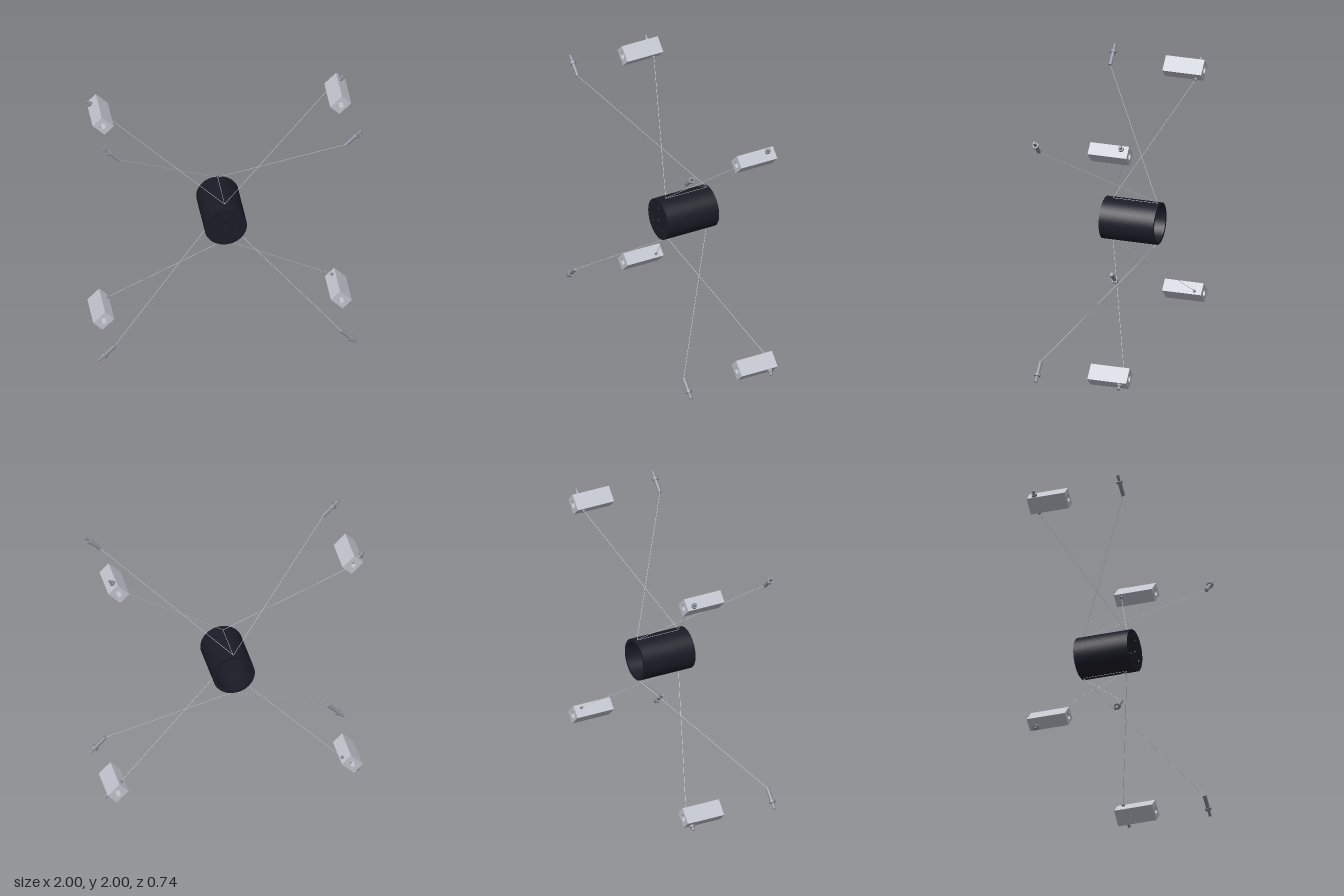
import * as THREE from 'three';

const mat = (name, color) => {
  const m = new THREE.MeshStandardMaterial({ color });
  m.name = name;
  return m;
};

export function createModel() {
  const black = mat('black casing', 0x1b1b27);
  const alloy = mat('light alloy', 0xc1c4cd);
  const steel = mat('dark steel', 0x8b8f98);
  const wireMat = mat('wire silver', 0xcfd2d8);

  const root = new THREE.Group();
  root.name = 'suspendedDrum';
  const add = (parent, name, geometry, material) => {
    const mesh = new THREE.Mesh(geometry, material);
    mesh.name = name;
    parent.add(mesh);
    return mesh;
  };
  const hole = (shape, x, y, rx, ry = rx, turn = 0) => {
    const p = new THREE.Path();
    p.absellipse(x, y, rx, ry, 0, Math.PI * 2, true, turn);
    shape.holes.push(p);
  };
  const disc = (r) => {
    const s = new THREE.Shape();
    s.absarc(0, 0, r, 0, Math.PI * 2, false);
    return s;
  };
  const extrude = (shape, depth) =>
    new THREE.ExtrudeGeometry(shape, { depth, bevelEnabled: false, curveSegments: 32 });

  // Drum: hollow shell open at the back, drilled plate at the front
  const drum = new THREE.Group();
  drum.name = 'drum';
  drum.position.y = 1;
  root.add(drum);
  const back = -0.318, front = 0.112, plate = 0.02;
  const shell = disc(0.16);
  hole(shell, 0, 0, 0.138);
  add(drum, 'drumShell', extrude(shell, front - plate - back), black).position.z = back;
  const face = disc(0.16);
  hole(face, 0, 0, 0.019);
  for (let i = 0; i < 3; i++) {
    const a = Math.PI / 2 + i * Math.PI * 2 / 3;
    hole(face, 0.094 * Math.cos(a), 0.094 * Math.sin(a), 0.014, 0.02, a);
    hole(face, 0.136 * Math.cos(a), 0.136 * Math.sin(a), 0.005);
  }
  add(drum, 'drumFacePlate', extrude(face, plate), black).position.z = front - plate;

  // Rod lying along local x, from x0 to x1
  const rod = (parent, name, x0, x1, r, y, z, sides = 20) => {
    const g = new THREE.CylinderGeometry(r, r, x1 - x0, sides).rotateZ(-Math.PI / 2);
    add(parent, name, g, steel).position.set((x0 + x1) / 2, y, z);
  };
  const wire = (name, a, b) => {
    const g = new THREE.TubeGeometry(new THREE.LineCurve3(a, b), 1, 0.0016, 6);
    add(root, name, g, wireMat);
  };

  const frontZ = 0.347, backZ = -0.316;
  const screwY = -0.027, boltY = 0.025;

  // Four corner anchors, each turned a quarter round the drum axis
  for (let k = 0; k < 4; k++) {
    const corner = new THREE.Group();
    corner.name = 'cornerAnchor' + (k + 1);
    corner.position.y = 1;
    corner.rotation.z = Math.PI / 4 + k * Math.PI / 2;
    root.add(corner);

    // Block with a bore along z
    const s = new THREE.Shape();
    s.moveTo(1.206, -0.046).lineTo(1.333, -0.046).lineTo(1.333, 0.053).lineTo(1.206, 0.053).closePath();
    hole(s, 1.27, 0.003, 0.026);
    add(corner, 'anchorBlock', extrude(s, 0.305), alloy).position.z = -0.373;

    // Tension bolt through the block
    rod(corner, 'blockBolt', 1.19, 1.377, 0.011, boltY, backZ);
    rod(corner, 'blockBoltNut', 1.333, 1.35, 0.021, boltY, backZ);

    // Free tension screw in front
    rod(corner, 'tensionScrewBody', 1.208, 1.307, 0.0145, screwY, frontZ);
    rod(corner, 'tensionScrewCollar', 1.307, 1.328, 0.024, screwY, frontZ);
    rod(corner, 'tensionScrewTip', 1.328, 1.377, 0.011, screwY, frontZ);

    // Crossing wires to the top or bottom of the drum
    corner.updateMatrix();
    const apexY = k < 2 ? 1.166 : 0.834;
    const at = (x, y, z) => new THREE.Vector3(x, y, z).applyMatrix4(corner.matrix);
    wire('frontWire', at(1.21, screwY, frontZ), new THREE.Vector3(0, apexY, -0.298));
    wire('backWire', at(1.195, boltY, backZ), new THREE.Vector3(0, apexY, 0.05));
  }

  // Wire runs along the drum's top and bottom
  for (const y of [1.162, 0.838])
    wire('drumWire', new THREE.Vector3(0, y, -0.298), new THREE.Vector3(0, y, 0.05));

  return root;
}
